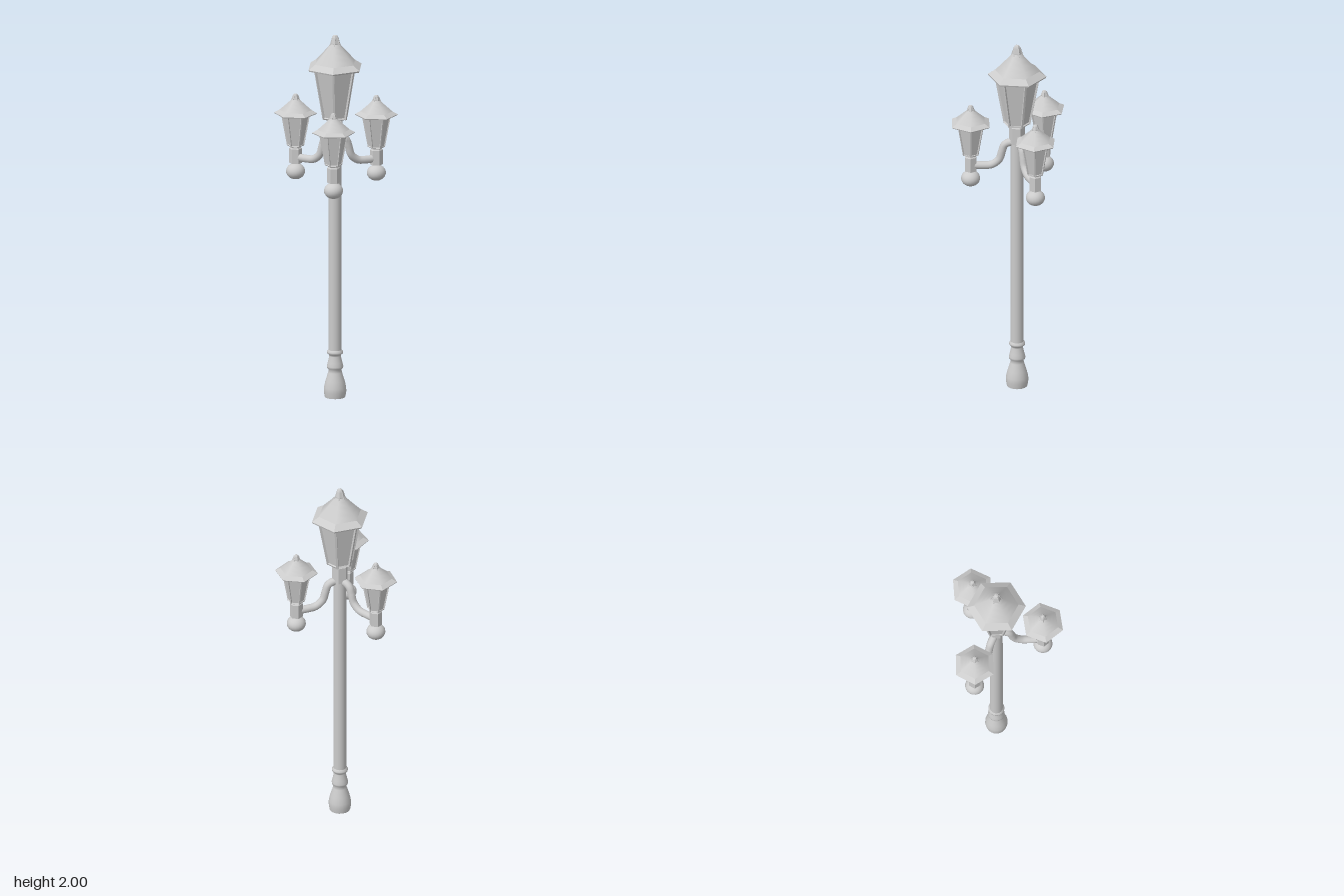
import * as THREE from 'three';

const smooth = new THREE.MeshStandardMaterial({ color: 0xcccccc });
const flat = new THREE.MeshStandardMaterial({ color: 0xcccccc, flatShading: true });

function add(parent, name, geometry, material = smooth) {
  const mesh = new THREE.Mesh(geometry, material);
  mesh.name = name;
  parent.add(mesh);
  return mesh;
}

// Turned shape from [radius, height] pairs, listed from bottom to top
function lathe(points, sides) {
  return new THREE.LatheGeometry(points.map(([r, y]) => new THREE.Vector2(r, y)), sides);
}

// Hexagon corner number i, at radius r and height y
function corner(i, r, y) {
  const a = (i * Math.PI) / 3;
  return new THREE.Vector3(r * Math.sin(a), y, r * Math.cos(a));
}

// Square bar between two points
function bar(parent, name, a, b, size, turn = 0) {
  const dir = b.clone().sub(a);
  const geometry = new THREE.BoxGeometry(size, dir.length(), size);
  geometry.rotateY(turn);
  const mesh = add(parent, name, geometry, flat);
  mesh.position.copy(a).add(b).multiplyScalar(0.5);
  mesh.quaternion.setFromUnitVectors(new THREE.Vector3(0, 1, 0), dir.normalize());
}

// Six-sided lantern; its origin is the bottom of the glass body
function createLantern(name, bodyScale, roofScale) {
  const lantern = new THREE.Group();
  lantern.name = name;
  const H = 0.28, R0 = 0.066, R1 = 0.117;

  const body = new THREE.Group();
  body.name = 'lanternBody';
  body.scale.setScalar(bodyScale);
  lantern.add(body);

  // Tapered glass and the frame around it
  add(body, 'glass', lathe([[0, 0], [R0 - 0.002, 0], [R1 - 0.002, H], [0, H]], 6), flat);
  for (let i = 0; i < 6; i++) {
    bar(body, 'cornerBar', corner(i, R0, 0), corner(i, R1, H), 0.011, (i * Math.PI) / 3);
    bar(body, 'bottomRail', corner(i, R0, 0.005), corner(i + 1, R0, 0.005), 0.01);
    bar(body, 'topRail', corner(i, R1, H - 0.005), corner(i + 1, R1, H - 0.005), 0.01);
  }
  // Hexagonal neck with a small collar
  add(body, 'neck', lathe([
    [0, -0.15], [0.054, -0.15], [0.054, -0.025], [0.046, -0.015],
    [0.046, -0.008], [0.07, 0], [0, 0],
  ], 6), flat);

  const roof = new THREE.Group();
  roof.name = 'roof';
  roof.position.y = H * bodyScale;
  roof.scale.set(...roofScale);
  lantern.add(roof);

  // Overhanging rim, curved cone and pointed finial
  add(roof, 'roofRim', lathe([
    [0, 0.004], [0.118, 0.004], [0.154, -0.006], [0.157, 0.002], [0.118, 0.028],
  ], 6), flat);
  add(roof, 'roofCone', lathe([
    [0.118, 0.028], [0.09, 0.058], [0.062, 0.088], [0.04, 0.113], [0.026, 0.13],
  ], 6));
  add(roof, 'finial', lathe([
    [0.026, 0.118], [0.026, 0.135], [0.018, 0.165], [0.012, 0.176], [0, 0.18],
  ], 6), flat);
  for (let i = 0; i < 6; i++) {
    bar(roof, 'finialRib', corner(i, 0.03, 0.12), corner(i, 0.016, 0.165), 0.005);
  }
  return lantern;
}

export function createModel() {
  const model = new THREE.Group();
  model.name = 'streetLamp';
  const poleX = 0.055;

  // Post with its turned base
  const post = new THREE.Group();
  post.name = 'post';
  post.position.x = poleX;
  model.add(post);
  add(post, 'postBase', lathe([
    [0.055, 0], [0.06, 0.03], [0.059, 0.055], [0.051, 0.09], [0.037, 0.135], [0.034, 0.15],
    [0.043, 0.16], [0.044, 0.17], [0.039, 0.19], [0.031, 0.225], [0.032, 0.233],
    [0.042, 0.24], [0.043, 0.25], [0.035, 0.26],
  ], 20));
  add(post, 'baseUnderside', new THREE.CircleGeometry(0.055, 20).rotateX(Math.PI / 2));
  add(post, 'pole', new THREE.CylinderGeometry(0.034, 0.035, 1.28, 20)).position.y = 0.89;

  // Large lantern on top
  const main = createLantern('mainLantern', 1, [1, 1, 1]);
  main.position.set(poleX, 1.54, 0);
  main.rotation.y = Math.PI / 6;
  main.getObjectByName('neck').scale.set(0.8, 0.75, 0.8);
  model.add(main);

  // Three curved arms, each with a small lantern over a ball: [x, z, lantern turn]
  const sides = [[-0.195, 0.005, 0], [0.177, -0.212, 0.05], [0.187, 0.21, 0.13]];
  for (const [x, z, turn] of sides) {
    const reach = Math.hypot(x - poleX, z);
    const arm = new THREE.Group();
    arm.name = 'lampArm';
    arm.position.x = poleX;
    arm.rotation.y = Math.atan2(-z, x - poleX);
    model.add(arm);
    const path = new THREE.CatmullRomCurve3([
      [0, 1.425], [0.035, 1.428], [0.066, 1.412], [0.08, 1.375],
      [0.096, 1.325], [0.135, 1.293], [0.18, 1.287], [reach, 1.287],
    ].map(([r, y]) => new THREE.Vector3(r, y, 0)));
    add(arm, 'curvedArm', new THREE.TubeGeometry(path, 36, 0.021, 12, false));

    const small = createLantern('sideLantern', 0.64, [0.73, 0.6, 0.73]);
    small.position.set(x, 1.35, z);
    small.rotation.y = turn;
    model.add(small);
    const ball = add(model, 'ball', new THREE.SphereGeometry(0.051, 20, 14));
    ball.position.set(x, 1.208, z);
    ball.scale.y = 0.85;
  }
  return model;
}
